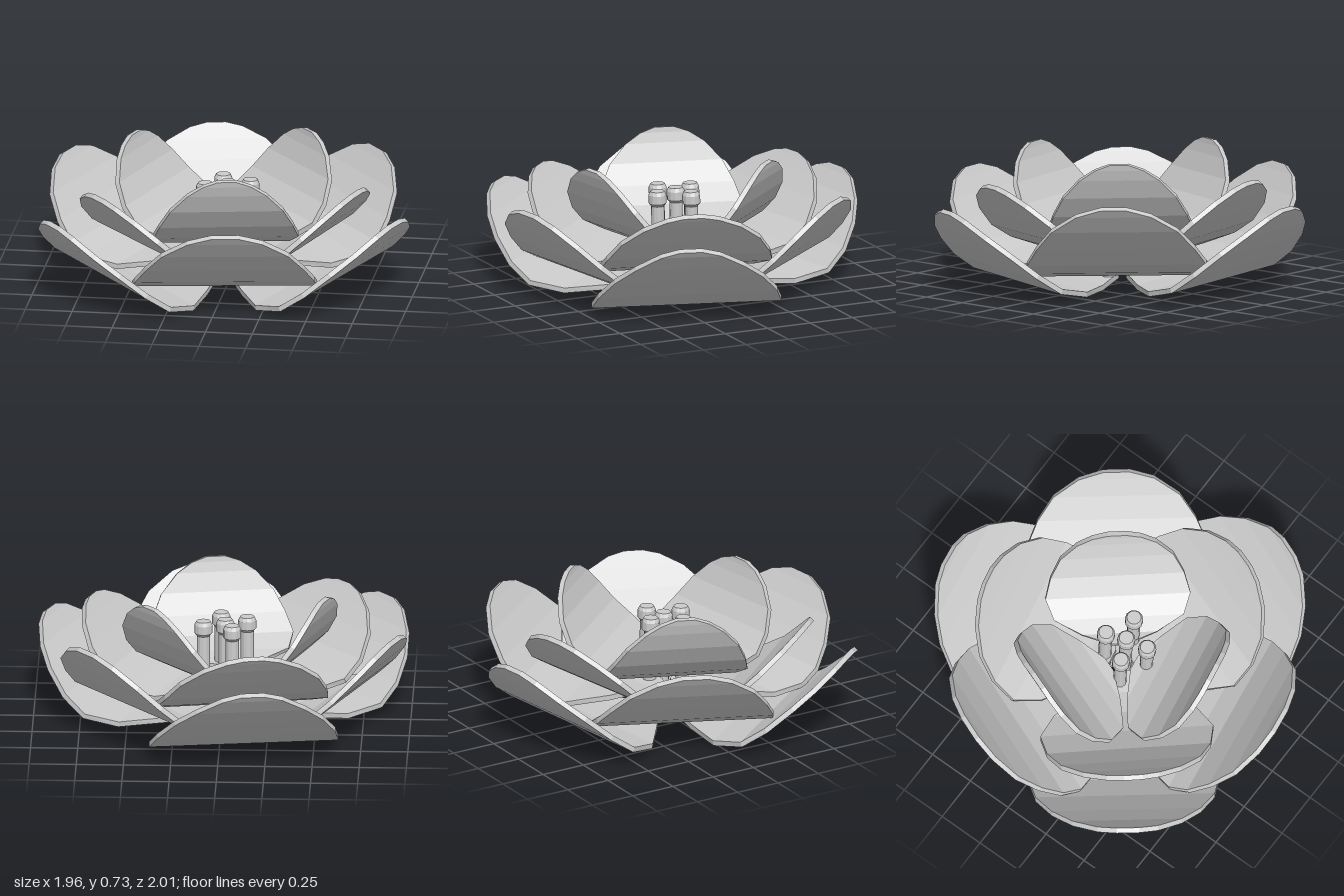
import * as THREE from 'three';

const THICKNESS = 0.028;

// One petal along +z: straight slats across its width, bent upward along its length.
// Each rib is [half width, height, distance from the centre].
function petalGeometry(ribs) {
  const loops = ribs.map(([w, y, z], i) => {
    const a = ribs[Math.max(i - 1, 0)], b = ribs[Math.min(i + 1, ribs.length - 1)];
    const dy = b[1] - a[1], dz = b[2] - a[2], len = Math.hypot(dy, dz);
    const yi = y + (dz / len) * THICKNESS;
    const zi = z - (dy / len) * THICKNESS;
    return [[-w, y, z], [w, y, z], [w, yi, zi], [-w, yi, zi]];
  });
  const pos = [];
  const quad = (a, b, c, d) => pos.push(...a, ...b, ...c, ...a, ...c, ...d);
  for (let i = 0; i < loops.length - 1; i++) {
    const s = loops[i], e = loops[i + 1];
    for (let k = 0; k < 4; k++) {
      const n = (k + 1) % 4;
      quad(s[k], s[n], e[n], e[k]);
    }
  }
  const first = loops[0], last = loops[loops.length - 1];
  quad(first[0], first[3], first[2], first[1]);
  quad(...last);
  const g = new THREE.BufferGeometry();
  g.setAttribute('position', new THREE.Float32BufferAttribute(pos, 3));
  g.computeVertexNormals();
  return g;
}

// Four whorls of three petals, from the lowest and widest to the innermost
const WHORLS = [
  { name: 'outerPetal', angle: 68.5, ribs: [[0.05, 0.02, 0.05], [0.25, 0, 0.25], [0.45, 0.01, 0.45],
    [0.505, 0.05, 0.63], [0.475, 0.14, 0.76], [0.395, 0.25, 0.88], [0.29, 0.34, 0.97],
    [0.16, 0.42, 1.035], [0.06, 0.45, 1.055]] },
  { name: 'lowerMiddlePetal', angle: 8.5, ribs: [[0.05, 0.1, 0.05], [0.24, 0.09, 0.21], [0.43, 0.09, 0.41],
    [0.49, 0.13, 0.56], [0.475, 0.19, 0.67], [0.42, 0.29, 0.775], [0.335, 0.4, 0.87],
    [0.2, 0.49, 0.935], [0.07, 0.53, 0.96]] },
  { name: 'upperMiddlePetal', angle: 71, ribs: [[0.05, 0.16, 0.05], [0.24, 0.15, 0.17], [0.38, 0.16, 0.29],
    [0.46, 0.21, 0.42], [0.435, 0.29, 0.55], [0.37, 0.4, 0.66], [0.26, 0.49, 0.74],
    [0.14, 0.545, 0.785], [0.05, 0.565, 0.8]] },
  { name: 'innerPetal', angle: 10, ribs: [[0.04, 0.23, 0.075], [0.2, 0.23, 0.14], [0.345, 0.26, 0.225],
    [0.385, 0.32, 0.33], [0.355, 0.41, 0.42], [0.3, 0.52, 0.49], [0.21, 0.62, 0.53],
    [0.13, 0.675, 0.545], [0.05, 0.705, 0.55]] },
];

export function createModel() {
  const model = new THREE.Group();
  model.name = 'flower';
  const material = new THREE.MeshStandardMaterial({ color: 0xcccccc, flatShading: true });

  // The bloom leans very slightly forward
  const bloom = new THREE.Group();
  bloom.name = 'bloom';
  bloom.position.set(-0.04, 0.01, 0.025);
  bloom.rotation.x = 0.023;
  model.add(bloom);

  for (const { name, angle, ribs } of WHORLS) {
    const geometry = petalGeometry(ribs);
    for (let i = 0; i < 3; i++) {
      const petal = new THREE.Mesh(geometry, material);
      petal.name = name;
      petal.rotation.y = THREE.MathUtils.degToRad(angle + i * 120);
      bloom.add(petal);
    }
  }

  // Stamens: a thin stalk with a wider chamfered head, one in the middle and four around
  const stamenProfile = [[0, 0.04], [0.035, 0.04], [0.035, 0.45], [0.048, 0.465],
    [0.048, 0.51], [0.038, 0.53], [0, 0.53]].map(([r, y]) => new THREE.Vector2(r, y));
  const stamenGeometry = new THREE.LatheGeometry(stamenProfile, 12);
  for (const [x, z] of [[0.025, 0.01], [-0.015, -0.095], [0.14, -0.025], [0.05, 0.13], [-0.09, 0.06]]) {
    const stamen = new THREE.Mesh(stamenGeometry, material);
    stamen.name = 'stamen';
    stamen.position.set(x, 0, z);
    bloom.add(stamen);
  }
  return model;
}
